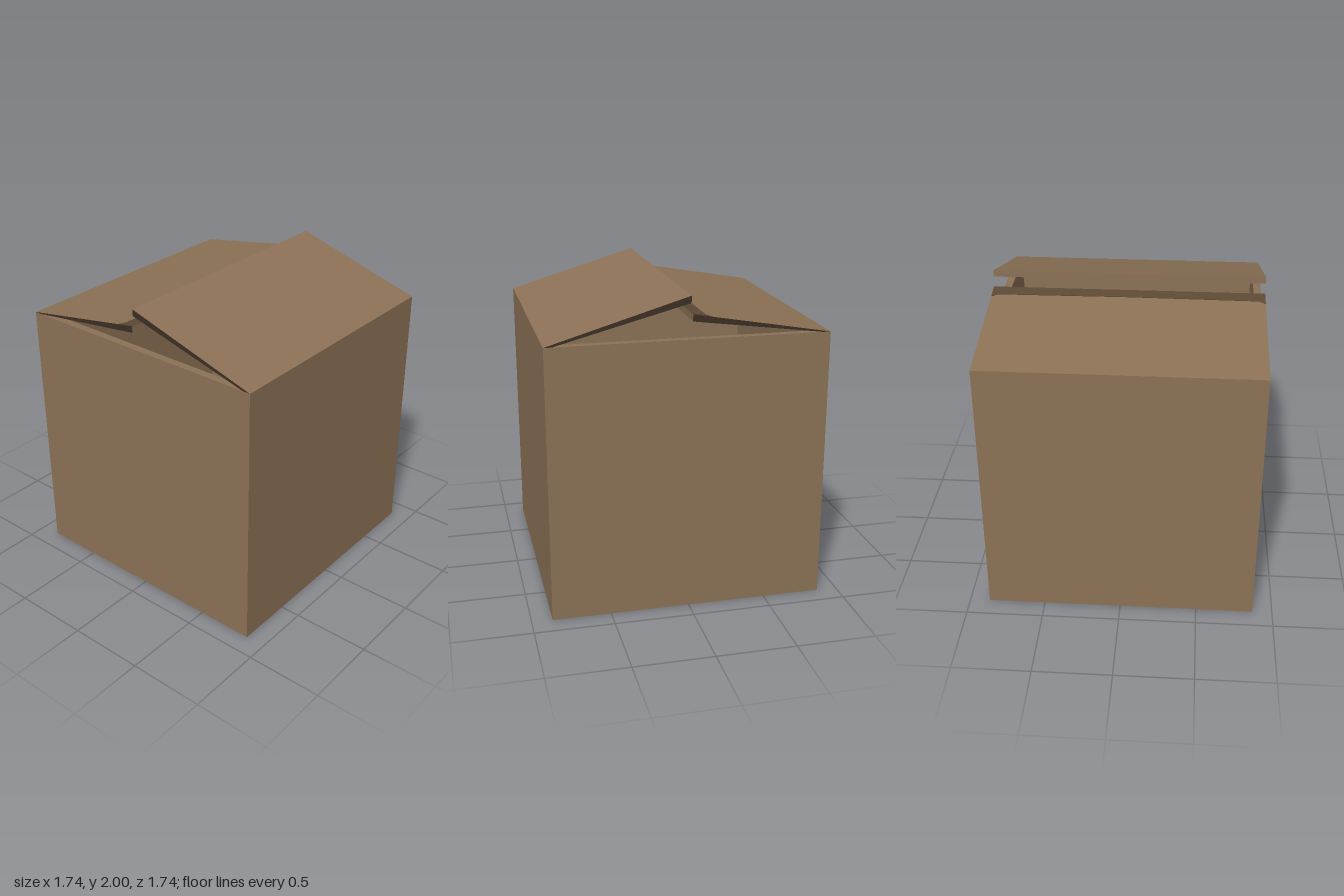
import * as THREE from 'three';

const H = 0.87;      // half width of the carton
const TOP = 1.74;    // rim height
const T = 0.05;      // wall thickness

const mat = (name, color) => {
  const m = new THREE.MeshStandardMaterial({ color });
  m.name = name;
  return m;
};
const polygon = (pts) => new THREE.Shape(pts.map(([x, y]) => new THREE.Vector2(x, y)));
const square = (r) => [[-r, -r], [r, -r], [r, r], [-r, r]];

export function createModel() {
  const cardboard = mat('cardboard', 0x8c7256);
  const shade = mat('brown strip', 0x5c4a35);
  const edge = mat('dark cut edge', 0x3c2f25);

  const group = new THREE.Group();
  const add = (name, geometry, material) => {
    const mesh = new THREE.Mesh(geometry, material);
    mesh.name = name;
    group.add(mesh);
    return mesh;
  };

  // Four walls as a hollow square tube
  const ring = polygon(square(H));
  ring.holes.push(polygon(square(H - T).reverse()));
  const walls = new THREE.ExtrudeGeometry(ring, { depth: TOP, bevelEnabled: false });
  walls.rotateX(-Math.PI / 2);
  add('walls', walls, cardboard);

  // Floor fills the bottom of the tube
  const inner = 2 * (H - T);
  add('floor', new THREE.BoxGeometry(inner, T, inner).translate(0, T / 2, 0), cardboard);

  // Wedge-shaped flaps, hinged on the rim and thicker at the free edge
  const flap = (name, side, tipX, tipY) => {
    const pts = [[side * H, TOP], [side * (H - T), TOP], [tipX, tipY - 0.043], [tipX, tipY]];
    const geo = new THREE.ExtrudeGeometry(polygon(pts), { depth: 2 * H, bevelEnabled: false });
    geo.translate(0, 0, -H);
    add(name, geo, [edge, cardboard]);
  };
  flap('rightFlap', -1, -0.01, 1.89);
  flap('leftFlap', 1, 0, 2);

  // Darker strip along the free edge of the lower flap, flared at both ends
  const slope = Math.atan2(1.89 - TOP, H - 0.01);
  const strip = new THREE.ExtrudeGeometry(
    polygon([[0, -H], [0, H], [-0.11, H], [-0.085, H - 0.04], [-0.078, 0], [-0.085, 0.04 - H], [-0.11, -H]]),
    { depth: 0.003, bevelEnabled: false });
  strip.rotateX(-Math.PI / 2);
  const plate = add('flapEdgeStrip', strip, shade);
  plate.position.set(-0.01, 1.89, 0);
  plate.rotation.z = slope;

  return group;
}
